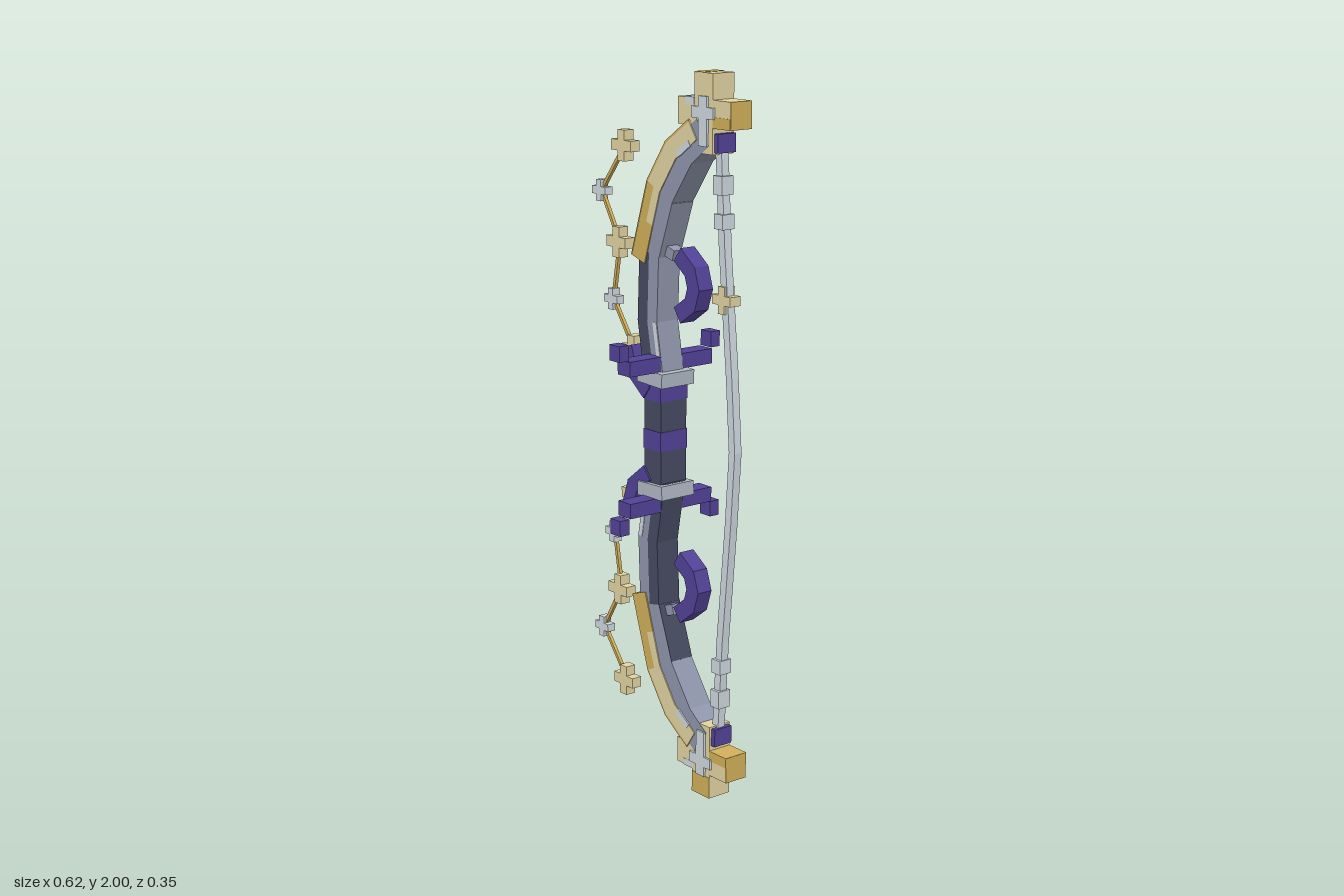
import * as THREE from 'three';

const mat = (name, color) => {
  const m = new THREE.MeshStandardMaterial({ color });
  m.name = name;
  return m;
};

export function createModel() {
  const cream = mat('pale gold', 0xe2d4a2);
  const gold = mat('deep gold', 0xd2b05b);
  const olive = mat('olive gold', 0x8d7c3a);
  const silver = mat('silver', 0xcfd9e0);
  const steel = mat('steel', 0xb0b9c4);
  const slate = mat('slate', 0x9096ac);
  const dark = mat('dark steel', 0x464b61);
  const purple = mat('purple', 0x534297);

  const add = (parent, name, geo, m) => {
    const mesh = new THREE.Mesh(geo, m);
    mesh.name = name;
    parent.add(mesh);
    return mesh;
  };
  // Box given by its limits on each axis
  const box = (parent, name, m, x0, x1, y0, y1, z0, z1) => {
    const mesh = add(parent, name, new THREE.BoxGeometry(x1 - x0, y1 - y0, z1 - z0), m);
    mesh.position.set((x0 + x1) / 2, (y0 + y1) / 2, (z0 + z1) / 2);
    return mesh;
  };
  // Mitred band along a path, spanning offsets a..b to its left, depth z0..z1
  // and, if given, only the path points from..to
  const strip = (parent, name, m, path, a, b, z0, z1, from = 0, to = path.length - 1) => {
    const p = path.map(([x, y]) => new THREE.Vector2(x, y));
    const normal = (i) => {
      const d = p[i + 1].clone().sub(p[i]).normalize();
      return new THREE.Vector2(-d.y, d.x);
    };
    const side = (o) => p.map((v, i) => {
      const n0 = normal(Math.max(i - 1, 0));
      const n1 = normal(Math.min(i, p.length - 2));
      const n = n0.clone().add(n1).normalize();
      return v.clone().addScaledVector(n, o / n.dot(n1));
    }).slice(from, to + 1);
    const shape = new THREE.Shape([...side(a), ...side(b).reverse()]);
    const geo = new THREE.ExtrudeGeometry(shape, { depth: z1 - z0, bevelEnabled: false });
    geo.translate(0, 0, z0);
    return add(parent, name, geo, m);
  };
  // Flat plus-shaped charm: half-length r, half-thickness t, half-depth d
  const charm = (parent, name, m, x, y, r, t, d) => {
    const s = new THREE.Shape([[-r, -t], [-t, -t], [-t, -r], [t, -r], [t, -t], [r, -t],
      [r, t], [t, t], [t, r], [-t, r], [-t, t], [-r, t]].map(([u, v]) => new THREE.Vector2(x + u, y + v)));
    const geo = new THREE.ExtrudeGeometry(s, { depth: 2 * d, bevelEnabled: false });
    geo.translate(0, 0, -d);
    add(parent, name, geo, m);
  };

  // One half of the bow, rising from the middle of the grip at y = 0;
  // front is the local z direction of the model's front
  const makeHalf = (name, front, outerColour, innerColour, edgeColour) => {
    const g = new THREE.Group();
    g.name = name;

    // Grip and clamp
    box(g, 'grip', dark, -0.036, 0.036, 0, 0.17, -0.045, 0.045);
    box(g, 'clamp', steel, -0.053, 0.055, 0.14, 0.18, -0.057, 0.057).rotation.z = -0.04;

    // Limb: lower stretch is two-toned, upper stretch is slate
    const limb = [[0, 0.13], [-0.033, 0.31], [-0.025, 0.5], [0.035, 0.665], [0.125, 0.79], [0.2, 0.845]];
    strip(g, 'lowerLimbOuter', outerColour, limb, 0, 0.042, -0.037, 0.037, 0, 2);
    strip(g, 'lowerLimbInner', innerColour, limb, -0.042, 0, -0.037, 0.037, 0, 2);
    strip(g, 'upperLimb', slate, limb, -0.042, 0.042, -0.037, 0.037, 2);
    // The lower colours run on over the outer and inner faces of the next stretch
    strip(g, 'limbOuterFace', outerColour, limb, 0.041, 0.0435, -0.037, 0.037, 2, 3);
    strip(g, 'limbInnerFace', innerColour, limb, -0.0435, -0.041, -0.037, 0.037, 2, 3);
    const shine = front > 0 ? [-0.04, -0.024] : [0.024, 0.04];
    strip(g, 'limbHighlight', silver, limb, ...shine, -0.0385, 0.0385, 0, 1);

    // Gilded plate on the front half of the outer edge
    const plate = [[-0.03, 0.465], [0.005, 0.573], [0.035, 0.665], [0.1, 0.757], [0.185, 0.815]];
    const z0 = front * 0.018 - 0.022;
    const z1 = front * 0.018 + 0.022;
    strip(g, 'lowerPlate', gold, plate, 0.012, 0.067, z0, z1, 0, 1);
    strip(g, 'middlePlateInner', cream, plate, 0.012, 0.04, z0, z1, 1, 2);
    strip(g, 'middlePlateOuter', gold, plate, 0.04, 0.067, z0, z1, 1, 2);
    strip(g, 'upperPlate', cream, plate, 0.012, 0.067, z0, z1, 2);
    strip(g, 'lowerPlateEdge', edgeColour, plate, 0.067, 0.073, z0, z1, 0, 2);
    strip(g, 'upperPlateEdge', gold, plate, 0.067, 0.073, z0, z1, 2);
    strip(g, 'plateInlay', silver, [[0.112, 0.765], [0.16, 0.798]], 0.01, 0.028, z0 - 0.001, z1 + 0.001);

    // Tip ornament with gilding and silver inlay
    box(g, 'tipUpright', cream, 0.165, 0.24, 0.79, 1, -0.036, 0.036);
    box(g, 'tipCapGilding', gold, 0.165, 0.2, 0.996, 1.001, -0.036, 0.036);
    box(g, 'tipCrossbar', cream, 0.098, 0.307, 0.86, 0.932, -0.0355, 0.0355);
    box(g, 'tipEndGilding', gold, 0.306, 0.311, 0.86, 0.932, -0.0355, 0.0355);
    box(g, 'tipGilding', gold, 0.24, 0.3105, 0.859, 0.888, -0.037, 0.037);
    box(g, 'tipShoulderInlay', silver, 0.127, 0.165, 0.915, 0.934, front * 0.019 - 0.0175, front * 0.019 + 0.0175);
    box(g, 'tipInlayBar', silver, 0.158, 0.248, 0.882, 0.912, -0.042, 0.042);
    box(g, 'tipInlayUpright', silver, 0.188, 0.222, 0.81, 0.94, -0.0425, 0.0425);

    // String half with beads and its purple anchor
    const cord = [[0.297, -0.001], [0.283, 0.2], [0.251, 0.54], [0.235, 0.8]];
    strip(g, 'string', silver, cord, -0.012, 0.012, -0.012, 0.012);
    box(g, 'stringBeadUpper', silver, 0.223, 0.259, 0.685, 0.735, -0.02, 0.02);
    box(g, 'stringBeadLower', silver, 0.228, 0.263, 0.595, 0.635, -0.02, 0.02);
    box(g, 'stringAnchor', purple, 0.215, 0.255, 0.795, 0.845, -0.03, 0.03);

    // Crescent behind the limb and the stub facing it
    strip(g, 'crescent', purple, [[0.08, 0.508], [0.133, 0.468], [0.148, 0.422], [0.133, 0.378], [0.08, 0.342]],
      -0.024, 0.024, -0.024, 0.024);
    box(g, 'limbStub', slate, 0.01, 0.057, 0.492, 0.522, -0.018, 0.018).rotation.z = -0.3;

    // Hooked arms to the front and back, and a claw to the outside
    for (const s of [-1, 1]) {
      box(g, 'sideArm', purple, -0.027, 0.027, 0.178, 0.22, s * 0.09 - 0.054, s * 0.09 + 0.054);
      box(g, 'armTip', purple, -0.022, 0.022, 0.222, 0.266, s * 0.16 - 0.016, s * 0.16 + 0.016);
    }
    strip(g, 'claw', purple, [[-0.02, 0.115], [-0.085, 0.165], [-0.108, 0.23]], -0.022, 0.024, -0.05, 0.05);

    // Hanging chain of alternating charms
    const links = [[-0.135, 0.208], [-0.23, 0.34], [-0.2, 0.505], [-0.282, 0.64], [-0.175, 0.775]];
    links.forEach(([x, y], i) => {
      if (i % 2) charm(g, 'silverCharm', silver, x, y, 0.03, 0.011, 0.013);
      else charm(g, 'goldCharm', cream, x, y, 0.043, 0.015, 0.016);
      if (i) strip(g, 'chainRod', gold, [links[i - 1], links[i]], -0.005, 0.005, -0.005, 0.005);
    });
    return g;
  };

  const model = new THREE.Group();
  model.name = 'bow';
  const top = makeHalf('upperHalf', 1, dark, slate, olive);
  const bottom = makeHalf('lowerHalf', -1, slate, dark, gold);
  // The lower half is turned about the x axis
  bottom.rotation.x = Math.PI;
  top.position.y = bottom.position.y = 1;
  // Single nocking charm on the upper string
  charm(top, 'stringCharm', cream, 0.256, 0.408, 0.037, 0.013, 0.018);
  // Wraps around the grip
  box(top, 'upperWrap', purple, -0.038, 0.038, 0.095, 0.14, -0.047, 0.047);
  box(top, 'middleWrap', purple, -0.038, 0.038, -0.045, 0.01, -0.047, 0.047);
  // Gilded front of the lowest tip
  box(bottom, 'tipFrontGilding', gold, 0.165, 0.24, 0.94, 1, -0.0375, -0.035);
  model.add(top, bottom);
  return model;
}
